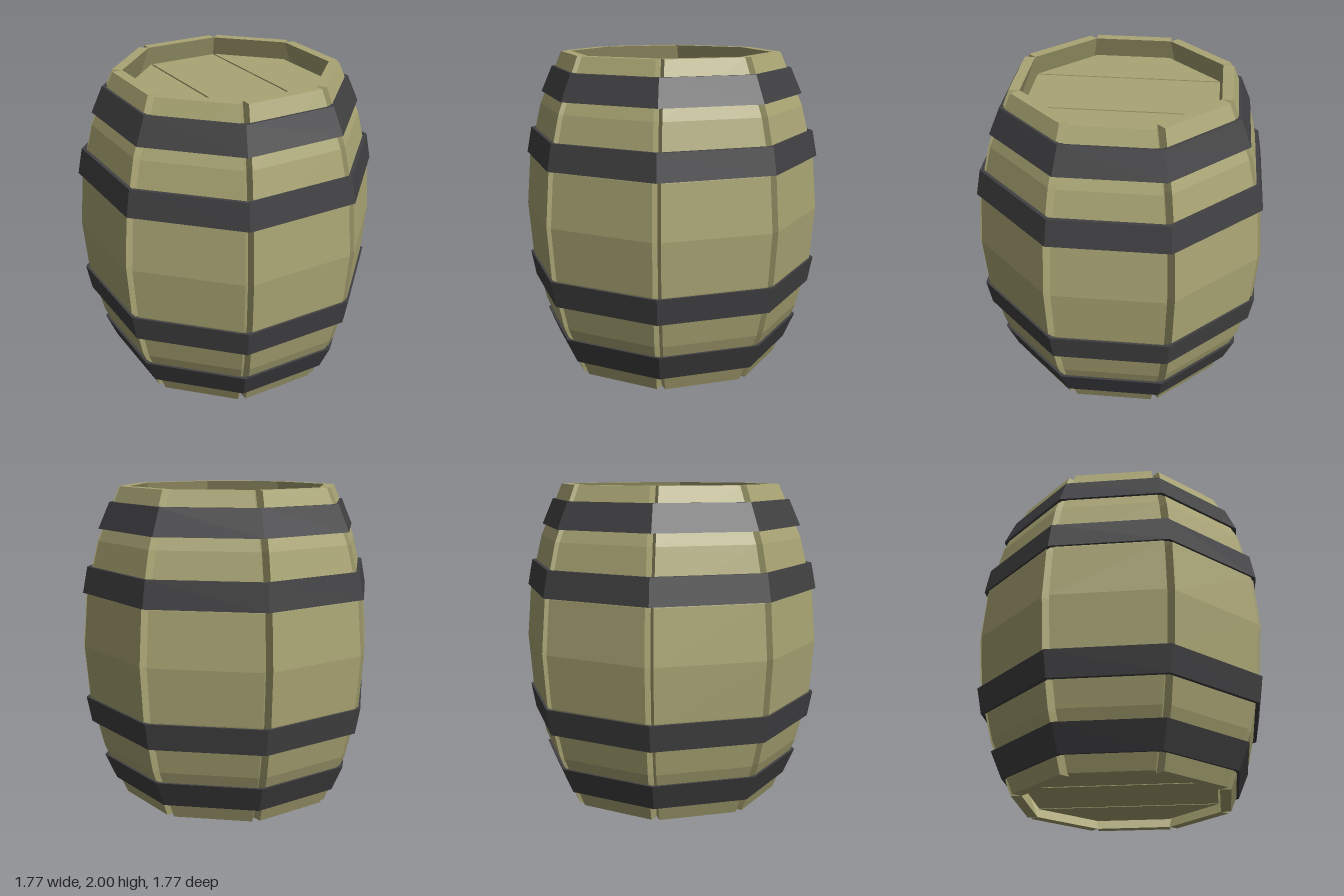
import * as THREE from 'three';

const SIDES = 8;
const TAN = Math.tan(Math.PI / SIDES);
const WALL = 0.065;

// Outer distance of a stave from the axis, at six equal steps from bottom to top
const BULGE = [0.655, 0.787, 0.862, 0.887, 0.862, 0.787, 0.655];

const wood = new THREE.MeshStandardMaterial({ color: 0xaaa574, flatShading: true });
const iron = new THREE.MeshStandardMaterial({ color: 0x414143, flatShading: true });

function part(name, geometry, material) {
  const mesh = new THREE.Mesh(geometry, material);
  mesh.name = name;
  return mesh;
}

// Bent plank: square edges whose inner corners meet the neighbouring planks
function staveGeometry() {
  const steps = BULGE.length - 1;
  const geo = new THREE.BoxGeometry(2, 2, 2, 1, steps, 1);
  const pos = geo.attributes.position;
  for (let i = 0; i < pos.count; i++) {
    const y = pos.getY(i) + 1;
    const outer = BULGE[Math.round((y / 2) * steps)];
    const inner = outer - WALL;
    pos.setXYZ(i, pos.getX(i) * inner * TAN, y, pos.getZ(i) > 0 ? outer : inner);
  }
  geo.computeVertexNormals();
  return geo;
}

// Eight-sided hoop, given the distance of its flats from the axis at both edges
function hoopGeometry(y0, r0, y1, r1) {
  const t = 0.022;
  const profile = [[r0, y0], [r1, y1], [r1 - t, y1], [r0 - t, y0], [r0, y0]]
    .map(([r, y]) => new THREE.Vector2(r / Math.cos(Math.PI / SIDES), y));
  return new THREE.LatheGeometry(profile, SIDES).rotateY(Math.PI / SIDES);
}

// Three boards that together fill the octagonal opening
function lid(name, y) {
  const group = new THREE.Group();
  group.name = name;
  const r = 0.577, c = r * TAN, gap = 0.013;
  const side = [[c, -r], [r, -c], [r, c], [c, r]];
  const boards = {
    middleBoard: [[gap - c, -r], [c - gap, -r], [c - gap, r], [gap - c, r]],
    leftBoard: side,
    rightBoard: side.map(([x, z]) => [-x, z]).reverse(),
  };
  for (const [boardName, outline] of Object.entries(boards)) {
    const shape = new THREE.Shape(outline.map(([x, z]) => new THREE.Vector2(x, z)));
    const geo = new THREE.ExtrudeGeometry(shape, { depth: 0.04, bevelEnabled: false });
    group.add(part(boardName, geo.rotateX(-Math.PI / 2), wood));
  }
  group.position.y = y;
  return group;
}

export function createModel() {
  const barrel = new THREE.Group();
  barrel.name = 'barrel';

  // Staves
  const stave = staveGeometry();
  for (let i = 0; i < SIDES; i++) {
    const mesh = part(`stave${i + 1}`, stave, wood);
    mesh.rotation.y = (i * 2 * Math.PI) / SIDES;
    barrel.add(mesh);
  }

  // Hoops, mirrored between the upper and lower half
  const hoops = [
    ['EndHoop', 1.74, 0.775, 1.905, 0.708],
    ['BellyHoop', 1.34, 0.875, 1.505, 0.846],
  ];
  for (const [name, y0, r0, y1, r1] of hoops) {
    barrel.add(part('upper' + name, hoopGeometry(y0, r0, y1, r1), iron));
    barrel.add(part('lower' + name, hoopGeometry(2 - y1, r1, 2 - y0, r0), iron));
  }

  // Lids set into both ends
  barrel.add(lid('topLid', 1.85), lid('bottomLid', 0.05));
  return barrel;
}
